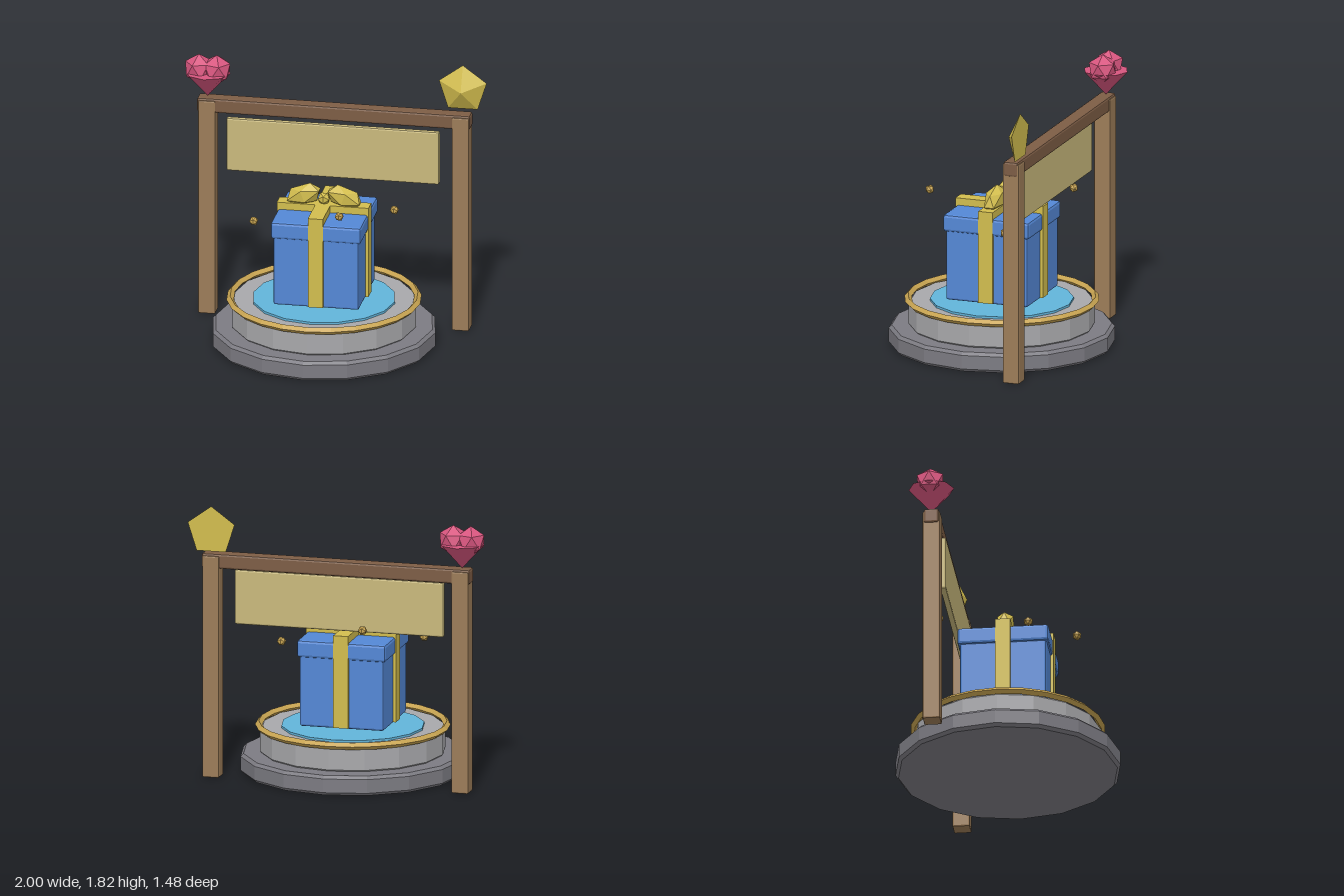
import * as THREE from 'three';
import { RoundedBoxGeometry } from 'three/addons/geometries/RoundedBoxGeometry.js';

const mat = (name, color) => {
  const m = new THREE.MeshStandardMaterial({ color, flatShading: true });
  m.name = name;
  return m;
};

export function createModel() {
  const model = new THREE.Group();
  model.name = 'giftStand';

  const darkStone = mat('dark stone', 0x7c7b82);
  const lightStone = mat('light stone', 0xa8a8ab);
  const brass = mat('brass', 0xc9a552);
  const water = mat('pale blue', 0x62b4da);
  const blue = mat('gift blue', 0x5488d6);
  const yellow = mat('ribbon yellow', 0xd2bd4e);
  const wood = mat('post wood', 0x9c7c58);
  const darkWood = mat('beam wood', 0x7d5d45);
  const board = mat('board tan', 0xc9b97c);
  const pink = mat('heart pink', 0xd8567f);

  const add = (name, geometry, material, x = 0, y = 0, z = 0, parent = model) => {
    const mesh = new THREE.Mesh(geometry, material);
    mesh.name = name;
    mesh.position.set(x, y, z);
    parent.add(mesh);
    return mesh;
  };
  const bevelBox = (w, h, d, r = 0.012) => new RoundedBoxGeometry(w, h, d, 1, r);

  // Round plinth tier with chamfered edges, 16 sides
  const tier = (r, y0, y1, b) => new THREE.LatheGeometry([
    [0, y0], [r - b, y0], [r, y0 + b], [r, y1 - b], [r - b, y1], [0, y1],
  ].map(([x, y]) => new THREE.Vector2(x, y)), 16);

  // Plinth
  add('plinthBase', tier(0.74, 0, 0.132, 0.02), darkStone);
  add('plinthStep', tier(0.61, 0.13, 0.295, 0.012), lightStone);
  const rim = add('plinthRim', new THREE.TorusGeometry(0.615, 0.024, 4, 24), brass, 0, 0.307);
  rim.rotation.x = Math.PI / 2;
  add('plinthDisc', new THREE.CylinderGeometry(0.47, 0.47, 0.02, 16), water, 0, 0.3);

  // Gift box
  const gift = new THREE.Group();
  gift.name = 'gift';
  model.add(gift);
  add('giftBody', bevelBox(0.57, 0.49, 0.57, 0.015), blue, 0, 0.587, 0, gift);
  add('giftLid', bevelBox(0.6, 0.115, 0.6, 0.018), blue, 0, 0.864, 0, gift);
  add('ribbonAcross', new THREE.BoxGeometry(0.61, 0.62, 0.1), yellow, 0, 0.66, 0, gift);
  add('ribbonAlong', new THREE.BoxGeometry(0.1, 0.62, 0.61), yellow, 0, 0.66, 0, gift);

  // Bow
  for (const s of [-1, 1]) {
    const loop = add('bowLoop', new THREE.IcosahedronGeometry(1, 0), yellow, s * 0.135, 1.018, 0, gift);
    loop.scale.set(0.132, 0.076, 0.063);
    loop.rotation.z = -s * 0.35;
  }
  add('bowKnot', new THREE.IcosahedronGeometry(0.045, 0), yellow, 0, 1.0, 0, gift);

  // Wooden frame with hanging board
  for (const x of [-0.847, 0.84]) {
    add('post', bevelBox(0.115, 1.49, 0.115, 0.01), wood, x, 0.745, -0.4);
  }
  add('beam', bevelBox(1.815, 0.1, 0.1, 0.014), darkWood, -0.005, 1.455, -0.4);
  add('signBoard', bevelBox(1.415, 0.368, 0.04), board, -0.005, 1.203, -0.345);

  // Heart: two lobes over a downward cone
  const heart = new THREE.Group();
  heart.name = 'heart';
  heart.position.set(-0.85, 0, -0.405);
  model.add(heart);
  for (const s of [-1, 1]) {
    const lobe = add('heartLobe', new THREE.IcosahedronGeometry(0.1, 0), pink, s * 0.06, 1.692, 0, heart);
    lobe.rotation.z = -s * 0.55;
  }
  const tip = add('heartTip', new THREE.ConeGeometry(0.15, 0.165, 8), pink, 0, 1.588, 0, heart);
  tip.rotation.x = Math.PI;

  // Five-sided gem with its point facing forward
  const gem = add('gem', new THREE.ConeGeometry(0.167, 0.08, 5, 1, false, Math.PI), yellow, 0.838, 1.655, -0.405);
  gem.rotation.x = Math.PI / 2;

  // Floating sparks, spaced a quarter turn apart at alternating heights
  for (let i = 0; i < 4; i++) {
    const a = 1.17 + i * Math.PI / 2;
    add('spark', new THREE.IcosahedronGeometry(0.031, 0), brass,
      Math.cos(a) * 0.47, i % 2 ? 0.88 : 1.05, Math.sin(a) * 0.47);
  }
  return model;
}
